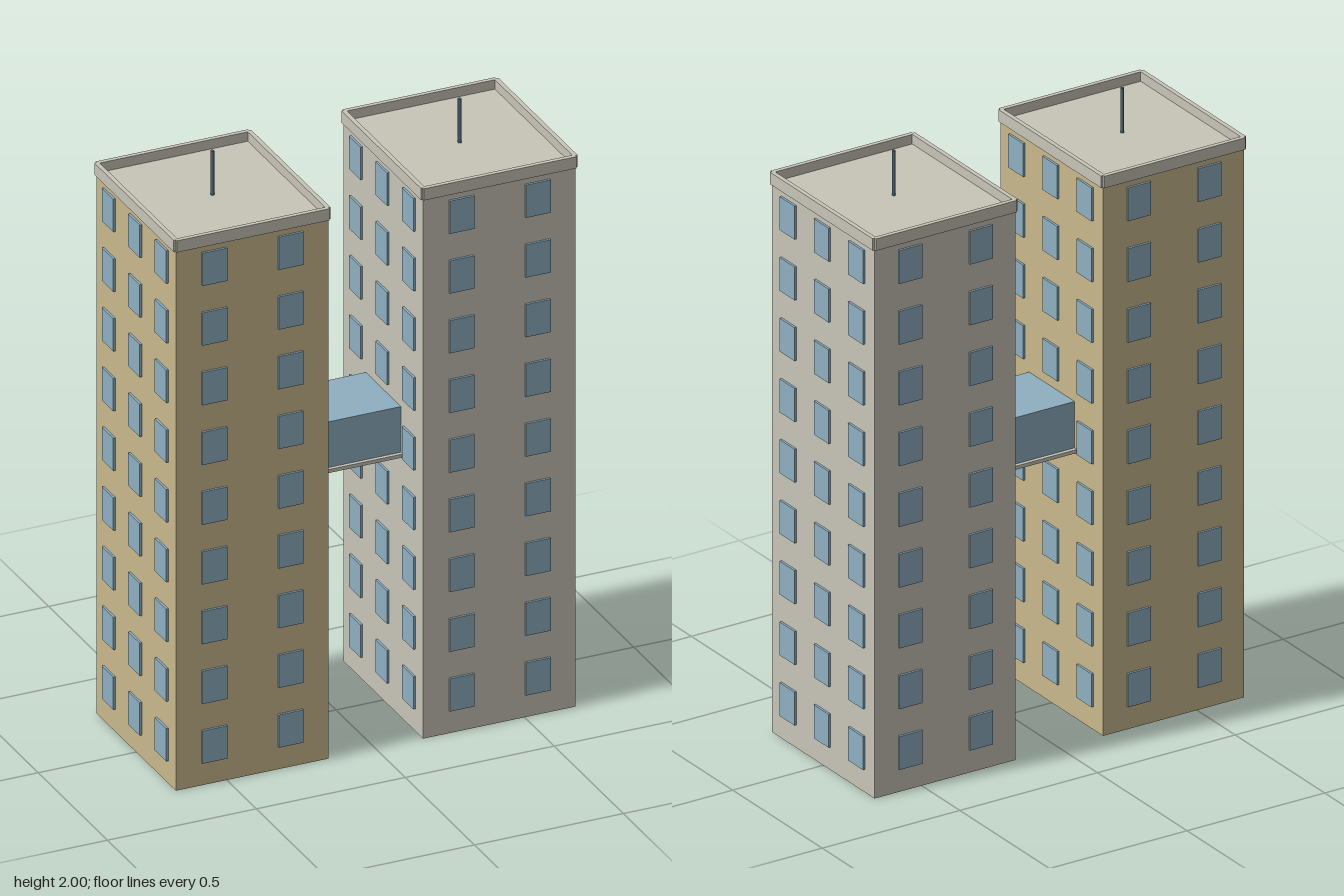
import * as THREE from 'three';

const mat = (name, color) => {
  const m = new THREE.MeshStandardMaterial({ color });
  m.name = name;
  return m;
};

function addBox(parent, name, material, size, pos) {
  const mesh = new THREE.Mesh(new THREE.BoxGeometry(...size), material);
  mesh.name = name;
  mesh.position.set(...pos);
  parent.add(mesh);
  return mesh;
}

const W = 0.512, D = 0.573; // tower footprint
const BODY_TOP = 1.842, TOP = 1.882;
const TRIM = 0.015; // thickness of parapet and windows, half sunk into the wall
const FLOORS = 9, FIRST_FLOOR = 0.133, FLOOR_STEP = 0.204;
const WIN_W = 0.083, WIN_H = 0.112;

function createTower(name, wall, concrete, glass, metal) {
  const tower = new THREE.Group();
  tower.name = name;
  addBox(tower, 'towerBody', wall, [W, BODY_TOP, D], [0, BODY_TOP / 2, 0]);
  addBox(tower, 'roofSlab', concrete, [W - 0.002, 0.008, D - 0.002], [0, BODY_TOP + 0.004, 0]);

  // parapet of four walls, leaving small notched corners
  const h = TOP - BODY_TOP, y = (TOP + BODY_TOP) / 2;
  for (const s of [-1, 1]) {
    addBox(tower, 'parapetLong', concrete, [TRIM, h, D], [s * W / 2, y, 0]);
    addBox(tower, 'parapetShort', concrete, [W, h, TRIM], [0, y, s * D / 2]);
  }

  // windows: two columns front and back, three columns on each side
  const windows = new THREE.Group();
  windows.name = 'windows';
  for (let i = 0; i < FLOORS; i++) {
    const wy = FIRST_FLOOR + i * FLOOR_STEP;
    for (const s of [-1, 1]) {
      for (const c of [-1, 1])
        addBox(windows, 'window', glass, [WIN_W, WIN_H, TRIM], [c * W / 4, wy, s * D / 2]);
      for (const c of [-1, 0, 1])
        addBox(windows, 'sideWindow', glass, [TRIM, WIN_H, WIN_W], [s * W / 2, wy, c * D / 3]);
    }
  }
  tower.add(windows);

  // roof antenna
  const base = BODY_TOP + 0.008;
  const antenna = new THREE.Mesh(new THREE.CylinderGeometry(0.006, 0.006, 2 - base, 8), metal);
  antenna.name = 'antenna';
  antenna.position.y = (2 + base) / 2;
  tower.add(antenna);
  return tower;
}

export function createModel() {
  const model = new THREE.Group();
  model.name = 'twinTowers';
  const concrete = mat('concrete grey', 0xc8c4b8);
  const sand = mat('sand yellow', 0xc8b98c);
  const glass = mat('glass blue', 0x8fafc0);
  const metal = mat('antenna slate', 0x4f6675);

  const right = createTower('rightTower', sand, concrete, glass, metal);
  right.position.x = -0.415;
  const left = createTower('leftTower', concrete, concrete, glass, metal);
  left.position.x = 0.415;
  model.add(right, left);

  // glazed sky bridge on a slightly wider slab
  const span = 2 * 0.415 - W;
  const bridge = new THREE.Group();
  bridge.name = 'skyBridge';
  addBox(bridge, 'bridgeGlazing', glass, [span, 0.157, 0.254], [0, 0.9825, 0]);
  addBox(bridge, 'bridgeFloor', concrete, [span, 0.012, 0.28], [0, 0.899, 0]);
  model.add(bridge);
  return model;
}
